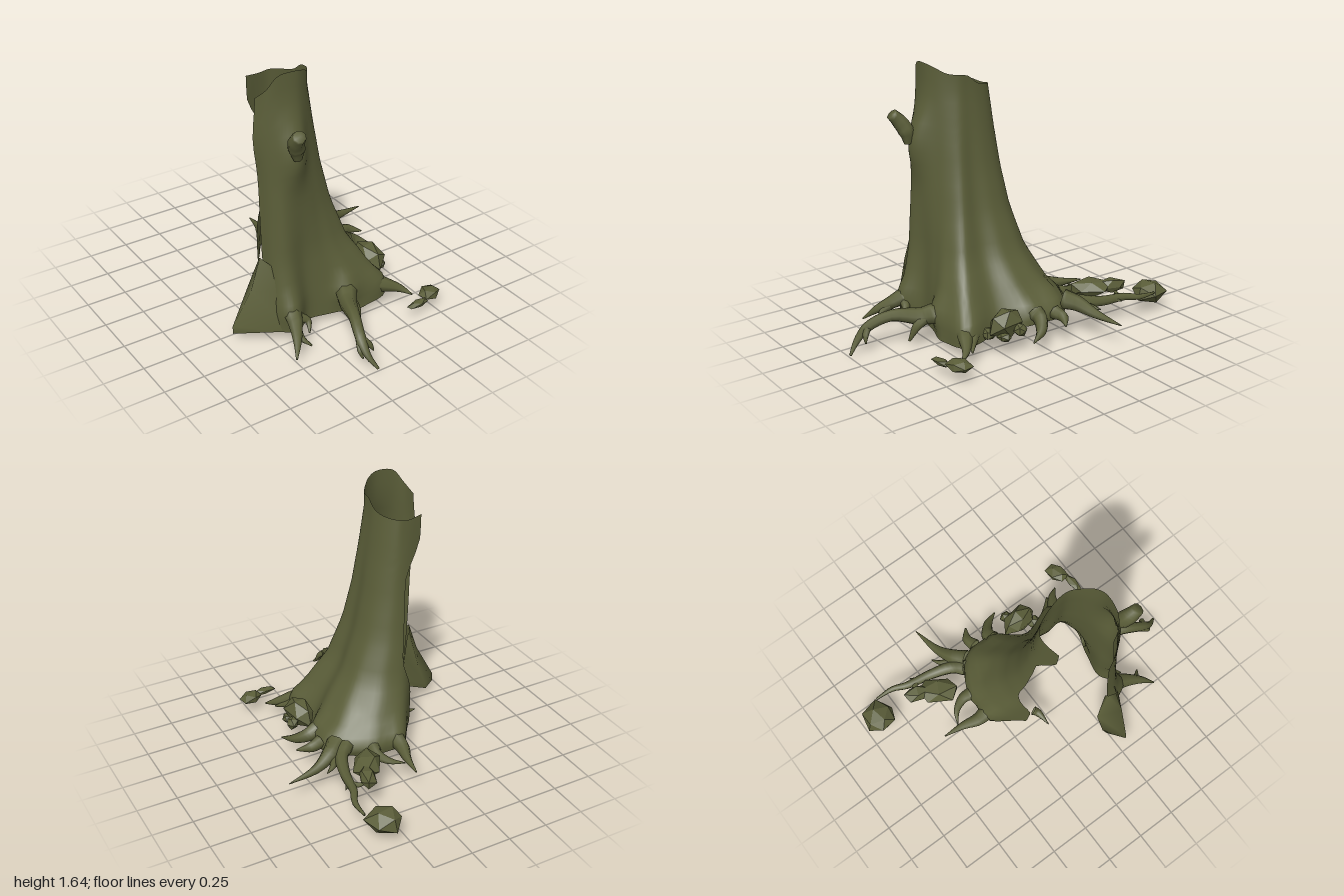
import * as THREE from 'three';
import { mergeVertices } from 'three/addons/utils/BufferGeometryUtils.js';

const V = (x, y, z) => new THREE.Vector3(x, y, z);
const { lerp, smoothstep } = THREE.MathUtils;
const bell = (d, width) => Math.exp(-(d * d) / (2 * width * width));

export function createModel() {
  const model = new THREE.Group();
  const bark = new THREE.MeshStandardMaterial({ color: 0x5a5d38, side: THREE.DoubleSide });
  bark.name = 'mossy bark';

  function add(name, geometry) {
    const mesh = new THREE.Mesh(geometry, bark);
    mesh.name = name;
    model.add(mesh);
    return mesh;
  }

  // Smooth skin over rows of points (bottom to top, left to right)
  function skin(rows) {
    const n = rows[0].length, pos = [], index = [];
    rows.forEach(r => r.forEach(p => pos.push(p.x, p.y, p.z)));
    for (let j = 0; j < rows.length - 1; j++) {
      for (let i = 0; i < n - 1; i++) {
        const a = j * n + i, b = a + 1, c = a + n, d = c + 1;
        index.push(a, b, d, a, d, c);
      }
    }
    let g = new THREE.BufferGeometry();
    g.setAttribute('position', new THREE.Float32BufferAttribute(pos, 3));
    g.setIndex(index);
    g = mergeVertices(g, 1e-5);
    g.computeVertexNormals();
    return g;
  }

  // Tapered limb along points given as [x, y, z, radius]
  function limb(name, pts, sides = 7, steps = 4) {
    const curve = new THREE.CatmullRomCurve3(pts.map(p => V(p[0], p[1], p[2])));
    const count = (pts.length - 1) * steps;
    const frames = curve.computeFrenetFrames(count, false);
    const rows = [];
    for (let j = 0; j <= count; j++) {
      const t = j / count, k = Math.min(Math.floor(t * (pts.length - 1)), pts.length - 2);
      const r = lerp(pts[k][3], pts[k + 1][3], t * (pts.length - 1) - k);
      const c = curve.getPoint(t);
      const ring = [];
      for (let i = 0; i <= sides; i++) {
        const a = (i % sides) / sides * Math.PI * 2;
        ring.push(c.clone()
          .addScaledVector(frames.normals[j], Math.cos(a) * r)
          .addScaledVector(frames.binormals[j], Math.sin(a) * r));
      }
      rows.push(ring);
    }
    rows.push(rows[count].map(() => curve.getPoint(1)));
    return add(name, skin(rows));
  }

  // Roots growing from the trunk; the first point lies on the shell
  const roots = {
    'front root': [[0.01, 0.20, 0.43, 0.075], [-0.06, 0.18, 0.56, 0.055], [-0.13, 0.20, 0.72, 0.036], [-0.18, 0.14, 0.86, 0.032], [-0.18, 0.07, 0.93, 0.02], [-0.15, 0.01, 0.99, 0.008]],
    'front right root': [[-0.38, 0.19, 0.44, 0.06], [-0.41, 0.15, 0.53, 0.045], [-0.46, 0.10, 0.63, 0.025], [-0.51, 0.04, 0.70, 0.005]],
    'front left root': [[0.18, 0.16, 0.41, 0.065], [0.28, 0.13, 0.47, 0.045], [0.36, 0.10, 0.52, 0.025], [0.41, 0.07, 0.58, 0.004]],
    'front left rootlet': [[0.24, 0.15, 0.38, 0.045], [0.30, 0.12, 0.43, 0.03], [0.38, 0.09, 0.49, 0.005]],
    'left root': [[0.29, 0.21, 0.00, 0.06], [0.38, 0.17, 0.00, 0.045], [0.45, 0.13, 0.05, 0.03], [0.50, 0.10, 0.14, 0.004]],
    'left rootlet': [[0.32, 0.19, -0.11, 0.05], [0.43, 0.17, -0.13, 0.033], [0.51, 0.15, -0.09, 0.005]],
    'back left root': [[0.26, 0.23, -0.19, 0.07], [0.38, 0.20, -0.28, 0.05], [0.50, 0.16, -0.33, 0.028], [0.69, 0.145, -0.365, 0.003]],
    'long back root': [[0.23, 0.22, -0.22, 0.06], [0.33, 0.19, -0.33, 0.042], [0.38, 0.17, -0.47, 0.032], [0.41, 0.17, -0.63, 0.024], [0.45, 0.16, -0.72, 0.018], [0.455, 0.16, -0.84, 0.007]],
    'back root': [[0.11, 0.19, -0.29, 0.05], [0.12, 0.17, -0.39, 0.035], [0.08, 0.16, -0.47, 0.02], [0.0, 0.15, -0.52, 0.003]],
    'back right root': [[-0.05, 0.20, -0.28, 0.06], [-0.05, 0.17, -0.40, 0.043], [-0.025, 0.16, -0.50, 0.025], [-0.01, 0.15, -0.63, 0.004]],
    'right rootlet': [[-0.20, 0.18, -0.09, 0.035], [-0.25, 0.16, -0.06, 0.025], [-0.345, 0.15, -0.05, 0.003]],
  };
  for (const [name, pts] of Object.entries(roots)) {
    const start = pts[0].map((v, i) => lerp(v, pts[1][i], 0.4));
    limb(name, [start, ...pts.slice(1)]);
  }

  // Side shoots of the roots
  const forks = {
    'front root fork': [[-0.18, 0.15, 0.85, 0.025], [-0.14, 0.11, 0.89, 0.018], [-0.12, 0.07, 0.90, 0.004]],
    'front root outer fork': [[-0.18, 0.14, 0.84, 0.024], [-0.205, 0.09, 0.89, 0.018], [-0.20, 0.05, 0.91, 0.004]],
    'front root branch': [[-0.04, 0.18, 0.53, 0.045], [-0.03, 0.14, 0.60, 0.03], [-0.045, 0.05, 0.65, 0.008]],
    'front right root fork': [[-0.41, 0.14, 0.53, 0.035], [-0.42, 0.10, 0.61, 0.02], [-0.38, 0.06, 0.66, 0.005]],
    'front right rootlet': [[-0.37, 0.15, 0.48, 0.035], [-0.31, 0.12, 0.51, 0.022], [-0.33, 0.07, 0.56, 0.005]],
    'back left rootlet': [[0.34, 0.19, -0.28, 0.035], [0.40, 0.17, -0.36, 0.02], [0.46, 0.16, -0.40, 0.003]],
    'long back root spur': [[0.39, 0.17, -0.57, 0.02], [0.36, 0.18, -0.61, 0.014], [0.31, 0.19, -0.62, 0.003]],
    'long back root outer spur': [[0.40, 0.17, -0.55, 0.02], [0.44, 0.16, -0.59, 0.003]],
  };
  for (const [name, pts] of Object.entries(forks)) limb(name, pts);

  // Trunk: an open shell, each column [topX, topZ, topY, baseX, baseZ, baseY]
  const columns = [
    [-0.48, 0.25, 1.49, -0.48, 0.33, 0.06],
    [-0.45, 0.31, 1.55, -0.46, 0.43, 0.06],
    [-0.39, 0.34, 1.63, -0.38, 0.49, 0.06],
    [-0.28, 0.35, 1.64, -0.25, 0.43, 0.06],
    [-0.215, 0.325, 1.62, -0.08, 0.46, 0.06],
    [-0.165, 0.28, 1.59, 0.10, 0.50, 0.06],
    [-0.13, 0.22, 1.58, 0.28, 0.44, 0.08],
    [-0.125, 0.16, 1.57, 0.25, 0.24, 0.10],
    [-0.13, 0.09, 1.52, 0.34, 0.02, 0.13],
    [-0.155, 0.02, 1.50, 0.31, -0.18, 0.13],
    [-0.21, -0.04, 1.49, 0.13, -0.32, 0.13],
    [-0.27, -0.045, 1.48, -0.08, -0.33, 0.14],
    [-0.37, -0.03, 1.49, -0.23, -0.16, 0.15],
  ];
  const topEdge = new THREE.CatmullRomCurve3(columns.map(c => V(c[0], c[2], c[1])));
  const baseEdge = new THREE.CatmullRomCurve3(columns.map(c => V(c[3], c[5], c[4])));
  // How far the shell has spread from top to base at each height
  const spread = [[0.05, 1.05], [0.2, 0.93], [0.35, 0.74], [0.5, 0.51], [0.75, 0.3], [1, 0.17], [1.25, 0.08], [1.5, 0], [2, 0]];
  function flare(y) {
    let k = 0;
    while (k < spread.length - 2 && y > spread[k + 1][0]) k++;
    const [y0, f0] = spread[k], [y1, f1] = spread[k + 1];
    return f0 + (f1 - f0) * (y - y0) / (y1 - y0);
  }
  const trunkRows = [], across = 66, up = 22;
  for (let j = 0; j <= up; j++) {
    const row = [], rise = Math.pow(j / up, 1.25), level = 0.15 + 1.34 * rise;
    // The back edge of the opening is eaten away at mid height
    const end = 1 - 0.09 * smoothstep(level, 0.3, 0.65) * (1 - smoothstep(level, 1.1, 1.36));
    for (let i = 0; i <= across; i++) {
      const u = i / across * end;
      const top = topEdge.getPoint(u), base = baseEdge.getPoint(u);
      const y = lerp(base.y, top.y, rise);
      const f = flare(y) + 0.025 * Math.sin(u * 70) * Math.pow(Math.max(0, 1 - y / 0.8), 2);
      const p = V(lerp(top.x, base.x, f), y, lerp(top.z, base.z, f));
      // Swelling under the broken branch and along the front edge
      const front = smoothstep(u, 0.05, 0.16) * (1 - smoothstep(u, 0.25, 0.42));
      p.z += front * (0.08 * bell(p.x + 0.32, 0.07) * bell(y - 1.17, 0.13) + 0.02 * bell(y - 0.8, 0.2));
      p.x -= 0.025 * (1 - smoothstep(u, 0, 0.14)) * bell(y - 1.25, 0.12);
      // Pull the shell out towards each root
      const pull = V(0, 0, 0);
      for (const [a, b] of Object.values(roots)) {
        const reach = 0.5 * bell(p.distanceTo(V(a[0], a[1], a[2])), 0.055);
        pull.add(V(b[0] - a[0], 0, b[2] - a[2]).multiplyScalar(reach));
      }
      row.push(p.add(pull.clampLength(0, 0.06)));
    }
    trunkRows.push(row);
  }
  add('trunk shell', skin(trunkRows));

  // Buttress fin on the edge of the opening
  add('buttress fin', skin([
    [V(-0.44, 0.06, 0.46), V(-0.70, 0.06, 0.31), V(-0.60, 0.07, 0.23), V(-0.48, 0.07, 0.33)],
    [V(-0.44, 0.11, 0.45), V(-0.70, 0.11, 0.31), V(-0.58, 0.12, 0.21), V(-0.48, 0.12, 0.33)],
    [V(-0.44, 0.33, 0.41), V(-0.59, 0.33, 0.34), V(-0.52, 0.28, 0.20), V(-0.48, 0.31, 0.31)],
    [V(-0.45, 0.46, 0.37), V(-0.52, 0.53, 0.33), V(-0.50, 0.50, 0.29), V(-0.48, 0.48, 0.28)],
  ]));

  // Broken branch on the front wall
  limb('branch stub', [[-0.335, 1.16, 0.445, 0.025], [-0.345, 1.23, 0.45, 0.05],
    [-0.365, 1.29, 0.48, 0.048], [-0.375, 1.345, 0.53, 0.036]], 8);

  // Faceted stones: [x, y, z, sizeX, sizeY, sizeZ, turn]
  const stones = [
    [0.35, 0.135, -0.89, 0.11, 0.075, 0.11, 0.2],
    [0.25, 0.21, -0.49, 0.085, 0.06, 0.14, -0.5],
    [0.31, 0.215, -0.61, 0.055, 0.05, 0.10, -0.4],
    [0.33, 0.20, 0.22, 0.08, 0.095, 0.13, 0.1],
    [0.41, 0.16, 0.17, 0.04, 0.045, 0.04, 0.8],
    [0.39, 0.13, 0.27, 0.05, 0.03, 0.04, 0.4],
    [0.28, 0.13, 0.31, 0.05, 0.04, 0.05, 0.9],
    [0.48, 0.10, 0.65, 0.08, 0.038, 0.06, 0.3],
    [0.37, 0.085, 0.695, 0.085, 0.022, 0.03, 0.1],
  ];
  stones.forEach(([x, y, z, sx, sy, sz, turn], s) => {
    const g = new THREE.IcosahedronGeometry(1, 0);
    const p = g.attributes.position, v = V(0, 0, 0);
    for (let i = 0; i < p.count; i++) {
      v.fromBufferAttribute(p, i);
      const k = 1 + 0.14 * Math.sin(v.x * 5 + v.y * 9 + v.z * 7 + s * 2);
      p.setXYZ(i, v.x * k * sx, v.y * k * sy, v.z * k * sz);
    }
    g.computeVertexNormals();
    const stone = add('stone ' + (s + 1), g);
    stone.position.set(x, y, z);
    stone.rotation.y = turn;
  });

  return model;
}
